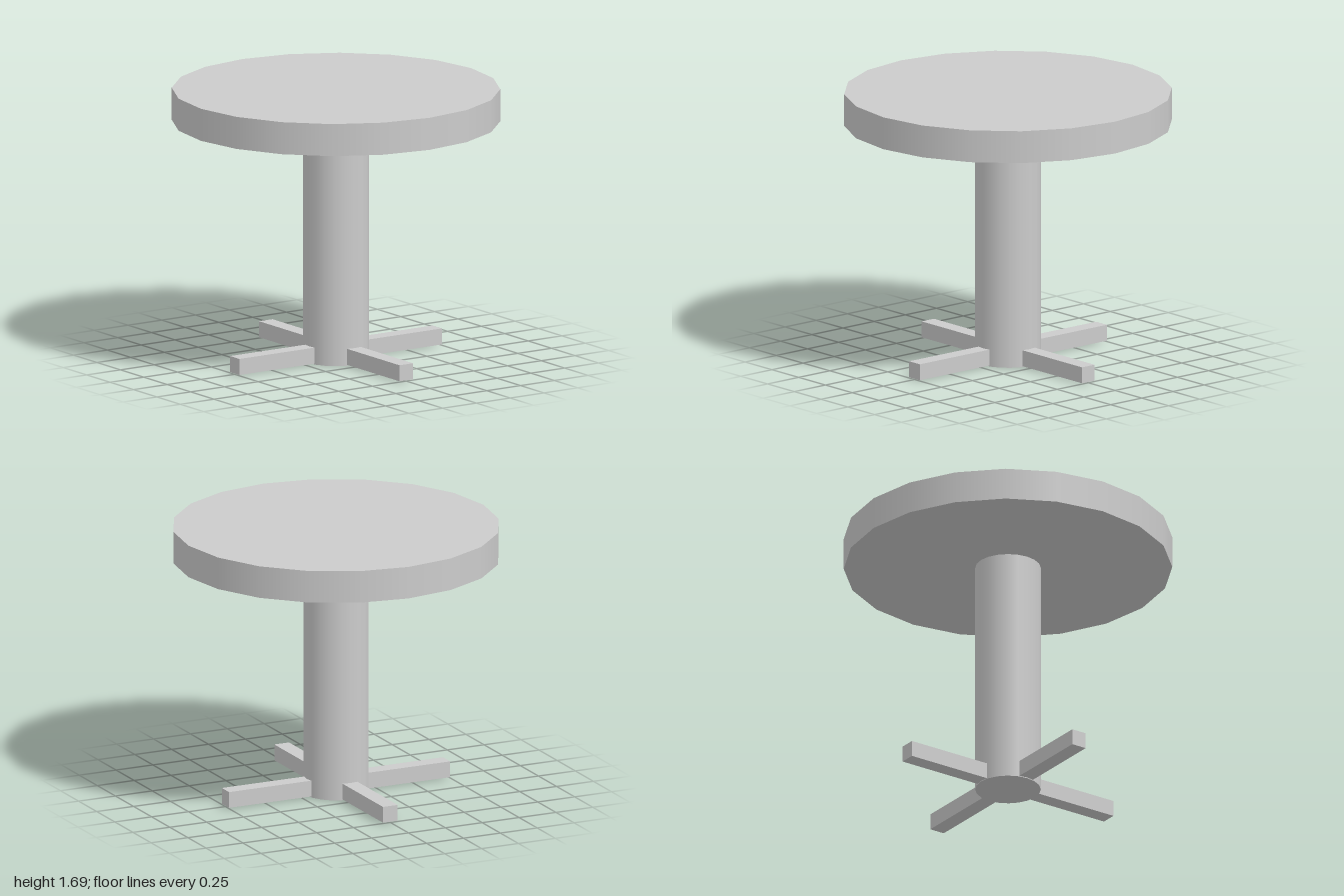
import * as THREE from 'three';

const SIDES = 20;

export function createModel() {
  const table = new THREE.Group();
  table.name = 'pedestalTable';
  const material = new THREE.MeshStandardMaterial({ color: 0xcccccc });

  const addPart = (name, geometry, x, y, z) => {
    const mesh = new THREE.Mesh(geometry, material);
    mesh.name = name;
    mesh.position.set(x, y, z);
    table.add(mesh);
    return mesh;
  };

  // Round top and the column that carries it
  addPart('tableTop', new THREE.CylinderGeometry(1, 1, 0.2, SIDES), 0, 1.5875, 0);
  addPart('column', new THREE.CylinderGeometry(0.2, 0.2, 1.49, SIDES), 0, 0.745, 0);

  // Four square feet in a cross, rooted inside the column and just clear of the floor
  const inner = 0.15, outer = 0.75;
  const footGeometry = new THREE.BoxGeometry(outer - inner, 0.1, 0.1);
  const middle = (inner + outer) / 2;
  ['leftFoot', 'backFoot', 'rightFoot', 'frontFoot'].forEach((name, i) => {
    const angle = (i * Math.PI) / 2;
    const foot = addPart(name, footGeometry, middle * Math.cos(angle), 0.055, -middle * Math.sin(angle));
    foot.rotation.y = angle;
  });

  return table;
}
